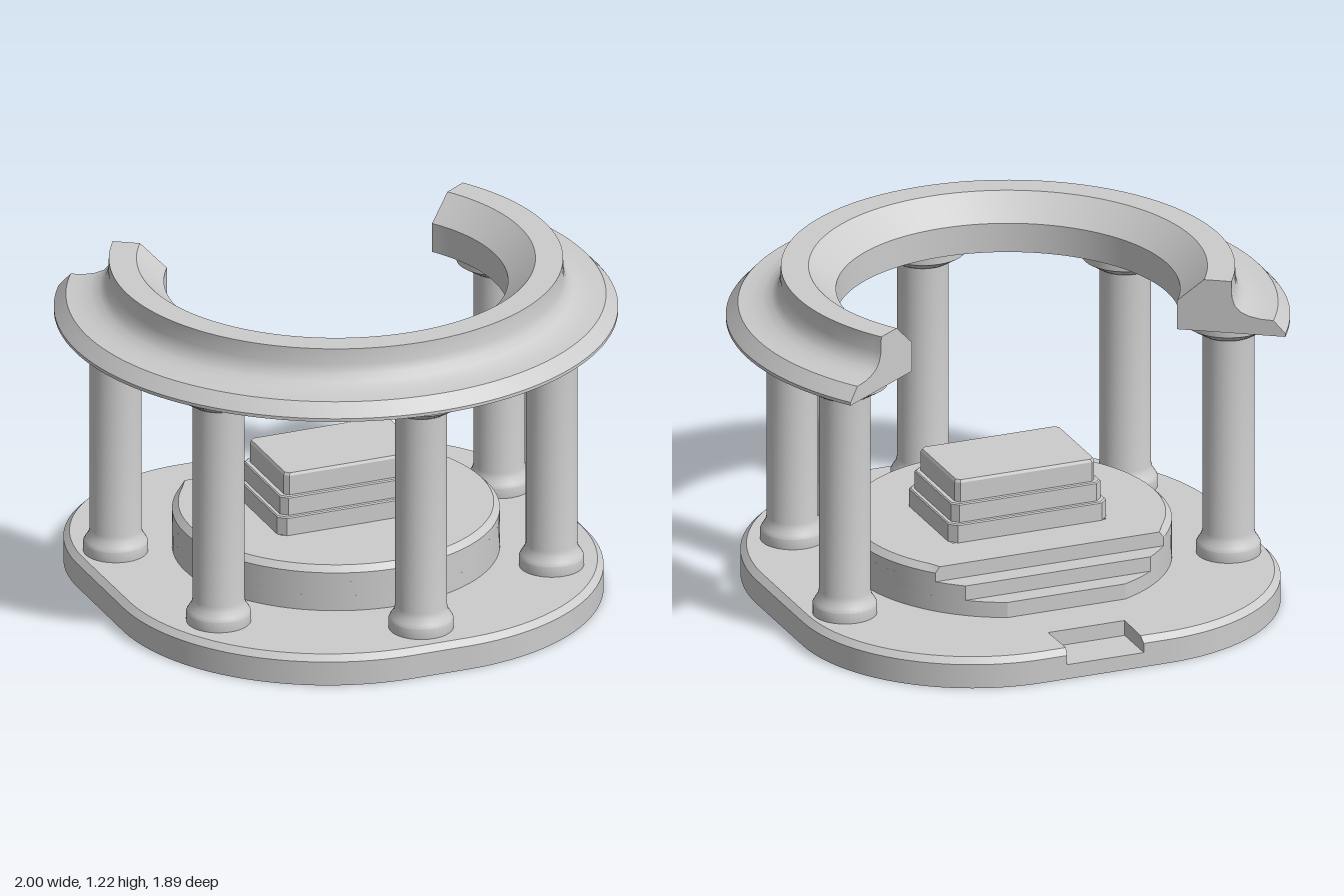
import * as THREE from 'three';
import { toCreasedNormals } from 'three/addons/utils/BufferGeometryUtils.js';

const CZ = -0.055; // z of the axis shared by ring, columns and plinth
const grey = new THREE.MeshStandardMaterial({ color: 0xcccccc });
const greyDouble = new THREE.MeshStandardMaterial({ color: 0xcccccc, side: THREE.DoubleSide });

function add(parent, name, geometry, material = grey) {
  const mesh = new THREE.Mesh(geometry, material);
  mesh.name = name;
  parent.add(mesh);
  return mesh;
}

function addGroup(parent, name) {
  const group = new THREE.Group();
  group.name = name;
  parent.add(group);
  return group;
}

const polygon = (pts) => new THREE.Path(pts.map(([x, z]) => new THREE.Vector2(x, -z)));
const vectors = (pts) => pts.map(([x, y]) => new THREE.Vector2(x, y));

// Horizontal slab from a plan shape (shape y = -z); inset(x, z) may move the top vertices
function slab(shape, y0, y1, inset) {
  const geo = new THREE.ExtrudeGeometry(shape, { depth: y1 - y0, bevelEnabled: false, curveSegments: 40 });
  geo.rotateX(-Math.PI / 2).translate(0, y0, 0);
  if (inset) {
    const p = geo.attributes.position;
    for (let i = 0; i < p.count; i++) {
      if (p.getY(i) < y1 - 1e-4) continue;
      const [x, z] = inset(p.getX(i), p.getZ(i));
      p.setXYZ(i, x, y1, z);
    }
  }
  return toCreasedNormals(geo, 0.4);
}

// Pull vertices beyond a radius towards an axis, making a chamfer; z stays put behind backZ
const chamfer = (cz, limit, amount, backZ) => (x, z) => {
  const r = Math.hypot(x, z - cz);
  const k = r > limit ? (r - amount) / r : 1;
  return [x * k, z < backZ ? z : cz + (z - cz) * k];
};

// Base plan: rounded front, rounded back corners, optional notch at the back
function basePlan(inset, notched) {
  const s = new THREE.Shape();
  const back = 0.95 - inset, notchX = 0.147 + inset, notchY = 0.775 - inset;
  s.absarc(0.24, 0.3, 0.65 - inset, 0, Math.PI / 2, false);
  if (notched) for (const [x, y] of [[notchX, back], [notchX, notchY], [-notchX, notchY], [-notchX, back]]) s.lineTo(x, y);
  s.absarc(-0.24, 0.3, 0.65 - inset, Math.PI / 2, Math.PI, false);
  s.absarc(-0.103, -0.117, 0.787 - inset, Math.PI, Math.PI * 1.5, false);
  s.absarc(0.103, -0.117, 0.787 - inset, Math.PI * 1.5, Math.PI * 2, false);
  s.closePath();
  return s;
}

function withHoles(shape, holes) {
  shape.holes.push(...holes);
  return shape;
}

// Disc with its back cut straight at z = -cut
function plinthPlan(cut) {
  const r = 0.581, a = Math.asin((cut + CZ) / r);
  const s = new THREE.Shape();
  s.absarc(0, -CZ, r, Math.PI - a, Math.PI * 2 + a, false);
  s.closePath();
  return s;
}

// Stepped block: rows of [half width, half depth, corner cut, y]
function blockGeometry(rows, cz) {
  const pos = [], idx = [];
  for (const [w, d, c, y] of rows) {
    for (const [x, z] of [[w, d - c], [w, c - d], [w - c, -d], [c - w, -d], [-w, c - d], [-w, d - c], [c - w, d], [w - c, d]])
      pos.push(x, y, cz + z);
  }
  for (let r = 0; r < rows.length - 1; r++) {
    for (let i = 0; i < 8; i++) {
      const a = r * 8 + i, b = r * 8 + (i + 1) % 8;
      idx.push(a, b, b + 8, a, b + 8, a + 8);
    }
  }
  const t = (rows.length - 1) * 8;
  for (let i = 1; i < 7; i++) idx.push(t, t + i, t + i + 1);
  const geo = new THREE.BufferGeometry();
  geo.setAttribute('position', new THREE.Float32BufferAttribute(pos, 3));
  geo.setIndex(idx);
  const flat = geo.toNonIndexed();
  flat.computeVertexNormals();
  return flat;
}

export function createModel() {
  const model = new THREE.Group();
  model.name = 'openRotunda';

  // Column places, evenly spaced around the front and sides
  const places = [-2, -1, 0, 1, 2].map((i) => {
    const a = i * THREE.MathUtils.degToRad(54.8);
    return [0.782 * Math.sin(a), CZ + 0.782 * Math.cos(a)];
  });
  const sockets = places.map(([x, z]) => new THREE.Path().absarc(x, -z, 0.11, 0, Math.PI * 2, true));
  const recess = polygon([[0.32, 0.34], [0.54, -0.12], [0.4, -0.4], [-0.4, -0.4], [-0.54, -0.12], [-0.32, 0.34]]);

  // Base: a thin floor on a rim, hollow underneath, with a notch at the back
  const base = addGroup(model, 'base');
  const floorPlan = withHoles(basePlan(0, true), [recess, ...sockets]);
  add(base, 'rimLower', slab(withHoles(basePlan(0, false), [basePlan(0.01, false)]), 0, 0.055));
  add(base, 'rimUpper', slab(withHoles(basePlan(0, true), [basePlan(0.01, true)]), 0.055, 0.08));
  add(base, 'floor', slab(floorPlan, 0.08, 0.09));
  add(base, 'floorChamfer', slab(floorPlan, 0.09, 0.112, chamfer(0, 0.87, 0.022, -2)));
  add(base, 'notchFloor', new THREE.BoxGeometry(0.314, 0.015, 0.18)).position.set(0, 0.0475, -0.855);

  // Round plinth with two steps at the back, hollow underneath
  const plinth = addGroup(model, 'plinth');
  add(plinth, 'lowerStep', slab(withHoles(plinthPlan(0.59), [recess]), 0.112, 0.17));
  add(plinth, 'upperStep', slab(withHoles(plinthPlan(0.515), [recess]), 0.17, 0.225));
  add(plinth, 'plinthWall', slab(withHoles(plinthPlan(0.437), [recess]), 0.225, 0.258));
  const opening = polygon([[0.295, 0.15], [0.295, -0.25], [-0.295, -0.25], [-0.295, 0.15]]);
  add(plinth, 'plinthTop', slab(withHoles(plinthPlan(0.437), [opening]), 0.258, 0.28, chamfer(CZ, 0.57, 0.022, -0.43)));

  // Hollow three-tier block
  add(model, 'steppedBlock', blockGeometry([
    [0.303, 0.207, 0.027, 0.28], [0.303, 0.207, 0.027, 0.346], [0.299, 0.203, 0.027, 0.35],
    [0.287, 0.19, 0.024, 0.35], [0.287, 0.19, 0.024, 0.416], [0.283, 0.186, 0.024, 0.42],
    [0.268, 0.172, 0.016, 0.42], [0.268, 0.172, 0.016, 0.493], [0.263, 0.167, 0.014, 0.503],
  ], -0.05), greyDouble);

  // Columns, with a shallow socket under each foot
  const columnGeo = toCreasedNormals(new THREE.LatheGeometry(vectors([
    [0, 0.13], [0.11, 0.13], [0.11, 0.08], [0.115, 0.112], [0.115, 0.15], [0.108, 0.163], [0.097, 0.18], [0.092, 0.2],
    [0.092, 0.955], [0.102, 0.957], [0.153, 0.99], [0.153, 1.025], [0, 1.025],
  ]), 40), 0.5);
  for (const [x, z] of places) add(model, 'column', columnGeo).position.set(x, 0, z);

  // Crowning ring, open at the back, with closed ends
  const profile = vectors([
    [0.61, 1.025], [1, 1.025], [1, 1.037], [0.957, 1.084], [0.91, 1.086], [0.87, 1.094], [0.838, 1.108],
    [0.817, 1.131], [0.807, 1.163], [0.805, 1.222], [0.707, 1.222], [0.61, 1.135], [0.61, 1.025],
  ]);
  const half = THREE.MathUtils.degToRad(123.4);
  const ring = addGroup(model, 'ring');
  ring.position.z = CZ;
  add(ring, 'ringBody', toCreasedNormals(new THREE.LatheGeometry(profile, 96, -half, half * 2), 0.5));
  for (const side of [-1, 1]) {
    const end = new THREE.ShapeGeometry(new THREE.Shape(profile.slice(0, -1)));
    add(ring, 'ringEnd', end.rotateY(side * half - Math.PI / 2), greyDouble);
  }
  return model;
}
